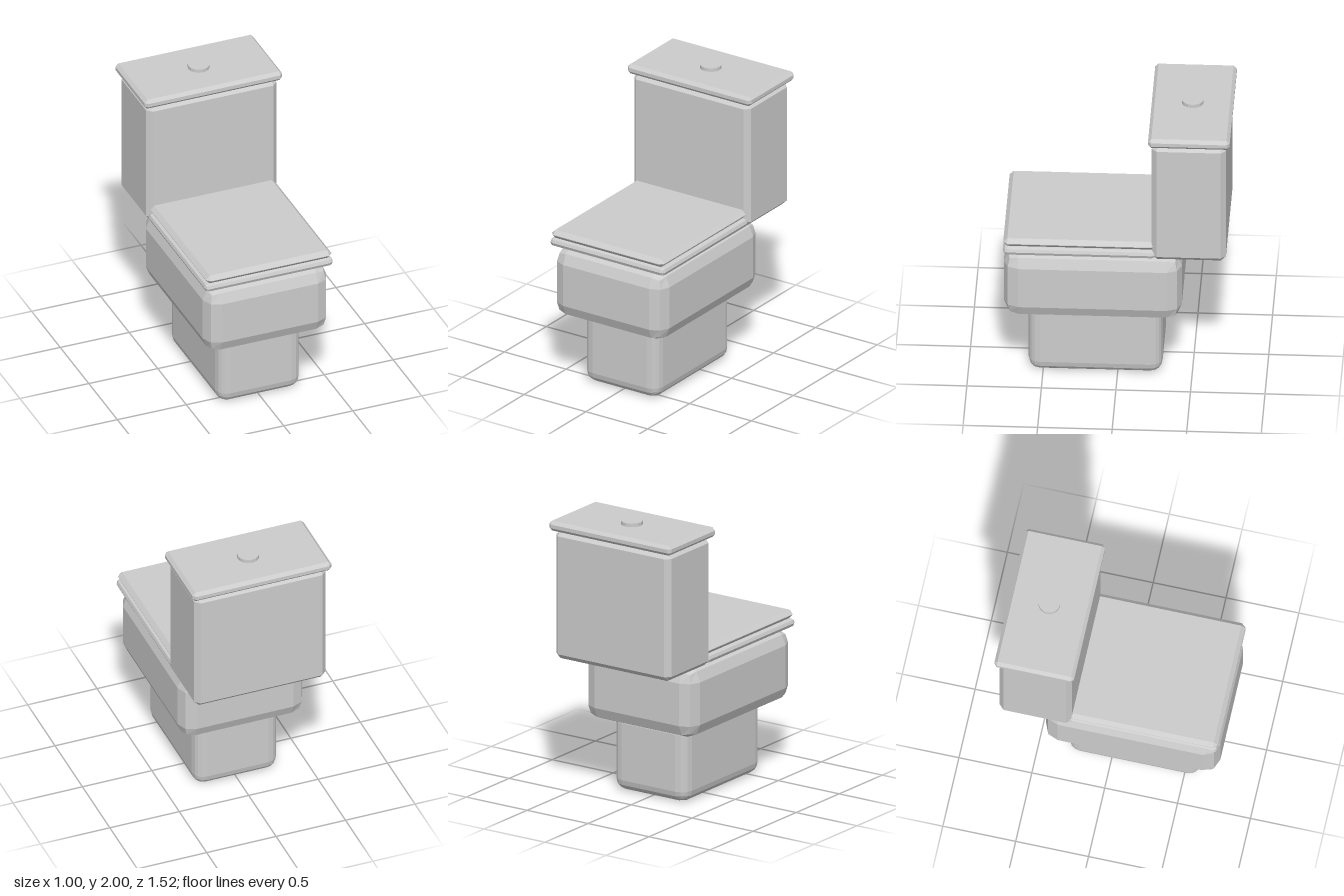
import * as THREE from 'three';
import { RoundedBoxGeometry } from 'three/addons/geometries/RoundedBoxGeometry.js';
import { ConvexGeometry } from 'three/addons/geometries/ConvexGeometry.js';

// Box with one flat chamfer of size c along every edge
function chamferBox(w, h, d, c) {
  const half = [w / 2, h / 2, d / 2];
  const points = [];
  for (const sx of [-1, 1]) for (const sy of [-1, 1]) for (const sz of [-1, 1]) {
    for (let axis = 0; axis < 3; axis++) {
      const p = half.map((v, i) => (i === axis ? v : v - c));
      points.push(new THREE.Vector3(p[0] * sx, p[1] * sy, p[2] * sz));
    }
  }
  return new ConvexGeometry(points);
}

export function createModel() {
  const group = new THREE.Group();
  const ceramic = new THREE.MeshStandardMaterial({ color: 0xcccccc });
  ceramic.name = 'ceramic';
  ceramic.flatShading = true;

  // Places a part by its y and z ranges, centred on x
  function add(name, makeGeometry, width, [y0, y1], [z0, z1]) {
    const mesh = new THREE.Mesh(makeGeometry(width, y1 - y0, z1 - z0), ceramic);
    mesh.name = name;
    mesh.position.set(0, (y0 + y1) / 2, (z0 + z1) / 2);
    group.add(mesh);
  }
  const rounded = (segments, r) => (w, h, d) => new RoundedBoxGeometry(w, h, d, segments, r);
  const chamfered = (c) => (w, h, d) => chamferBox(w, h, d, c);

  // Pedestal and bowl
  add('base', rounded(2, 0.08), 0.6, [0, 0.56], [-0.3, 0.6]);
  add('bowl', rounded(1, 0.1), 0.895, [0.5, 1.0], [-0.435, 0.76]);

  // Seat and its cover
  add('seat', rounded(1, 0.03), 0.93, [1.01, 1.07], [-0.268, 0.76]);
  add('seatCover', chamfered(0.028), 0.91, [1.07, 1.13], [-0.265, 0.76]);

  // Cistern, lid and flush button
  add('tank', chamfered(0.035), 0.945, [1.005, 1.905], [-0.735, -0.237]);
  add('tankLid', chamfered(0.022), 1.0, [1.905, 1.975], [-0.762, -0.214]);
  add('flushButton', (w, h) => new THREE.CylinderGeometry(w / 2, w / 2, h, 16), 0.147, [1.96, 2.0], [-0.5635, -0.4165]);

  return group;
}
